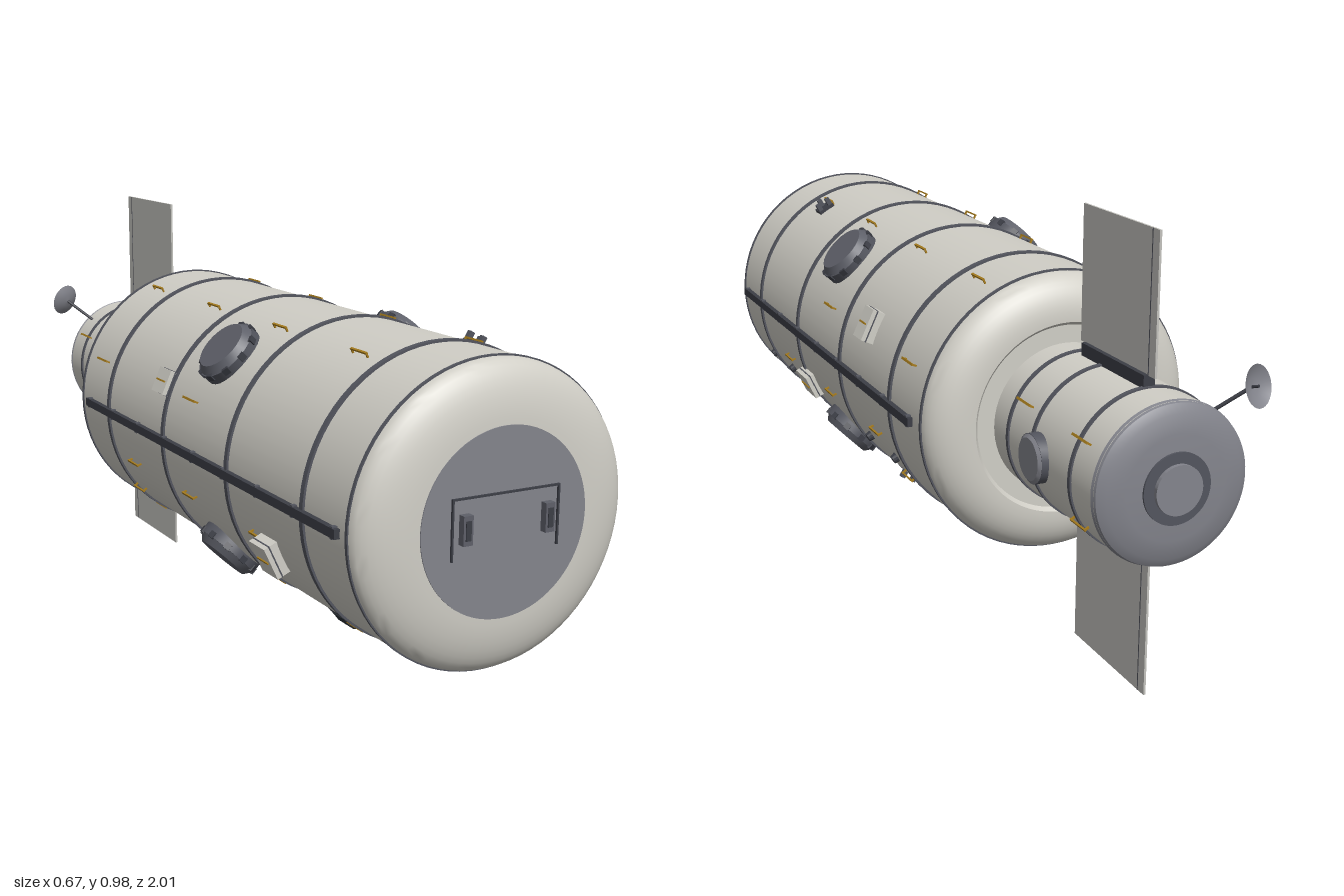
import * as THREE from 'three';
import { toCreasedNormals } from 'three/addons/utils/BufferGeometryUtils.js';

const mat = (name, color) => Object.assign(new THREE.MeshStandardMaterial({ color }), { name });

export function createModel() {
  const hull = mat('hull white', 0xd0cec6);
  const panelMat = mat('panel grey', 0xc4c3be);
  const grey = mat('plate grey', 0x83848c);
  const hatchMat = mat('hatch grey', 0x5e6069);
  const frame = mat('frame grey', 0x53555e);
  const dark = mat('dark metal', 0x3c3e46);
  const glass = mat('dark glass', 0x2b3137);
  const yellow = mat('handrail yellow', 0xa67c1e);
  const CY = 0.49, R = 0.32, NR = 0.17, deg = Math.PI / 180;
  const model = new THREE.Group();
  model.name = 'stationModule';

  const add = (parent, name, geo, material, x = 0, y = 0, z = 0) => {
    const m = new THREE.Mesh(geo, material);
    m.name = name;
    m.position.set(x, y, z);
    parent.add(m);
    return m;
  };
  const box = (parent, name, material, w, h, d, x = 0, y = 0, z = 0) =>
    add(parent, name, new THREE.BoxGeometry(w, h, d), material, x, y, z);
  const cyl = (parent, name, material, top, bottom, h, x, y, z, seg = 28) =>
    add(parent, name, toCreasedNormals(new THREE.CylinderGeometry(top, bottom, h, seg), 0.6), material, x, y, z);
  // Turned part about the long axis; points are [radius, z] with z rising
  const turned = (name, pts, material) => {
    const geo = new THREE.LatheGeometry(pts.map(p => new THREE.Vector2(p[0], p[1])), 72).rotateX(Math.PI / 2);
    return add(model, name, toCreasedNormals(geo, 0.5), material, 0, CY, 0);
  };
  // Group on the hull surface: local y points outward, local z runs along the axis
  const mount = (name, angle, r, z) => {
    const g = new THREE.Group();
    g.name = name;
    g.position.set(Math.cos(angle * deg) * r, CY + Math.sin(angle * deg) * r, z);
    g.rotation.z = (angle - 90) * deg;
    model.add(g);
    return g;
  };
  // Quarter-ellipse shoulder between two radii
  const shoulder = (r0, z0, r1, z1, n = 10) => Array.from({ length: n + 1 }, (_, i) => {
    const a = i / n * Math.PI / 2;
    return [r1 + (r0 - r1) * Math.cos(a), z0 + (z1 - z0) * Math.sin(a)];
  });

  // Main pressure hull
  turned('mainHull', [[R, -0.46], [R, 0.925]], hull);
  turned('frontDome', shoulder(R, 0.925, 0.19, 0.98), hull);
  turned('rearDome', [[0.16, -0.515], [0.21, -0.515], [0.218, -0.525],
    ...shoulder(R, -0.46, 0.225, -0.525).reverse()], hull);
  turned('neckHull', [[NR, -0.965], [NR, -0.5]], hull);
  turned('frontPlate', [[0.195, 0.975], [0.195, 0.982], [0, 0.982]], grey);

  // Frame rings
  const ring = (r, z, half, lift) => turned('frameRing',
    [[r - 0.004, z - half], [r + lift, z - half], [r + lift, z + half], [r - 0.004, z + half]], frame);
  [0.75, 0.408, 0.066, -0.277].forEach(z => ring(R, z, 0.007, 0.005));
  [0.922, -0.462].forEach(z => ring(R, z, 0.004, 0.003));
  [-0.587, -0.698, -0.87].forEach(z => ring(NR, z, 0.005, 0.004));

  // Rear cap and docking disc
  turned('rearCap', [[0, -0.988], [0.11, -0.986], [0.15, -0.981], [0.168, -0.97], [0.172, -0.957], [NR, -0.955]], grey);
  turned('dockingRing', [[0, -0.991], [0.075, -0.991], [0.075, -0.983]], frame);
  turned('dockingDisc', [[0, -1], [0.052, -1], [0.052, -0.985]], grey);

  // Front plate frame and grips
  box(model, 'frontFrameTop', dark, 0.254, 0.004, 0.006, 0, 0.553, 0.984);
  for (const s of [-1, 1]) {
    box(model, 'frontFrameSide', dark, 0.004, 0.125, 0.006, s * 0.125, 0.4925, 0.984);
    box(model, 'frontGrip', hatchMat, 0.022, 0.06, 0.016, s * 0.097, 0.492, 0.99);
    box(model, 'gripPad', dark, 0.012, 0.04, 0.004, s * 0.097, 0.492, 0.998);
  }

  // Long side rails with clamps
  for (const a of [0, 180]) {
    const g = mount('sideRail', a, 0.325, 0.24);
    box(g, 'railBar', dark, 0.02, 0.014, 1.31);
    for (let i = 0; i < 9; i++) box(g, 'railClamp', frame, 0.026, 0.014, 0.01, 0, -0.001, -0.64 + i * 0.16);
  }

  // Round hatches on the diagonals, with latches
  for (const a of [45, 135, 225, 315]) {
    const g = mount('roundHatch', a, 0, 0.24);
    cyl(g, 'hatchBase', frame, 0.078, 0.078, 0.034, 0, 0.321, 0);
    cyl(g, 'hatchLid', hatchMat, 0.062, 0.076, 0.018, 0, 0.346, 0);
    for (let i = 0; i < 10; i++) {
      const t = i * 36 * deg;
      box(g, 'hatchLatch', dark, 0.016, 0.016, 0.016, Math.sin(t) * 0.072, 0.333, Math.cos(t) * 0.072).rotation.y = t;
    }
  }

  // Neck side hatches
  for (const a of [0, 180]) {
    const g = mount('neckHatch', a, 0, -0.725);
    cyl(g, 'neckHatchBase', frame, 0.053, 0.053, 0.03, 0, 0.17, 0);
    cyl(g, 'neckHatchLid', grey, 0.045, 0.052, 0.006, 0, 0.188, 0);
  }

  // Six-sided observation dome underneath
  const cupola = mount('observationDome', -90, 0, 0.475);
  cyl(cupola, 'domeCollar', frame, 0.07, 0.07, 0.03, 0, 0.322, 0);
  cyl(cupola, 'domeSill', frame, 0.088, 0.082, 0.012, 0, 0.336, 0, 6);
  cyl(cupola, 'domeBody', dark, 0.062, 0.088, 0.03, 0, 0.357, 0, 6);
  cyl(cupola, 'domeTopWindow', glass, 0.048, 0.048, 0.004, 0, 0.372, 0, 6);
  for (let i = 0; i < 6; i++) {
    const pivot = new THREE.Group();
    pivot.name = 'domeSideWindow';
    pivot.rotation.y = (i + 0.5) * 60 * deg;
    cupola.add(pivot);
    box(pivot, 'windowPane', glass, 0.052, 0.024, 0.004, 0, 0.357, 0.065).rotation.x = -0.645;
  }
  for (const s of [-1, 1]) {
    box(cupola, 'domeBracket', dark, 0.008, 0.03, 0.01, s * 0.09, 0.317, 0);
    box(cupola, 'domeBracket', dark, 0.008, 0.03, 0.01, s * 0.045, 0.325, 0.08);
  }

  // Equipment boxes: angle, z, tangential width, outer radius, length
  [[25, -0.1, 0.077, 0.35, 0.054], [-25, 0.387, 0.064, 0.342, 0.086],
    [156, 0.033, 0.06, 0.338, 0.064], [205, 0.575, 0.077, 0.35, 0.07]].forEach(([a, z, w, r, d]) => {
    const g = mount('equipmentBox', a, 0, z);
    box(g, 'boxBody', hull, w, r - 0.29, d, 0, (r + 0.29) / 2, 0);
    box(g, 'boxSeam', frame, w + 0.002, 0.003, d + 0.002, 0, r - 0.012, 0);
    box(g, 'boxStrip', yellow, 0.004, 0.004, d * 0.7, 0, r + 0.001, 0);
  });

  // Small bracket clusters
  for (const [a, z] of [[60, 0.638], [-60, 0.013]]) {
    const g = mount('bracketCluster', a, R, z);
    box(g, 'bracketBase', dark, 0.045, 0.012, 0.04, 0, 0.002, 0);
    for (const [x, dz] of [[-0.015, -0.013], [0.015, -0.013], [0, 0.014]])
      box(g, 'bracketPost', frame, 0.012, 0.026, 0.012, x, 0.014, dz);
  }

  // Small round fittings low on the left side
  for (const z of [0.76, 0.587, -0.04, -0.21])
    cyl(mount('roundFitting', -29, R, z), 'fittingStud', dark, 0.01, 0.013, 0.016, 0, 0.004, 0, 12);

  // Handrails
  const handrail = (a, r, z, len = 0.062) => {
    const g = mount('handrail', a, r, z);
    box(g, 'handrailBar', yellow, 0.005, 0.004, len, 0, 0.01, 0);
    for (const s of [-1, 1]) box(g, 'handrailPost', yellow, 0.004, 0.012, 0.004, 0, 0.004, s * (len / 2 - 0.002));
  };
  for (const a of [64.5, 115.5, -64.5, -115.5])
    for (const z of [-0.365, -0.025, 0.317, 0.66]) handrail(a, R, z);
  for (const side of [0, 1]) {
    const at = a => side ? 180 - a : a;
    [-0.355, 0.185].forEach(z => handrail(at(21.5), R, z));
    [0.53, 0.185, -0.145].forEach(z => handrail(at(-19), R, z));
    handrail(at(-37.5), R, -0.23);
    [[-30, -0.88], [30, -0.88], [30, -0.63]].forEach(([a, z]) => handrail(at(a), NR, z));
  }

  // Vertical panels above and below the neck
  for (const a of [90, -90]) {
    const g = mount('panelWing', a, 0, 0);
    box(g, 'panelRoot', dark, 0.026, 0.028, 0.26, 0, 0.183, -0.742);
    box(g, 'mainPanel', panelMat, 0.005, 0.295, 0.28, 0, 0.3425, -0.73);
    box(g, 'panelSeam', frame, 0.006, 0.295, 0.003, 0, 0.3425, -0.871);
    box(g, 'panelEdge', panelMat, 0.005, 0.295, 0.024, 0, 0.3425, -0.884);
  }

  // Dish antenna on an arm
  const dishPos = new THREE.Vector3(-0.172, 0.67, -0.972);
  const armPath = new THREE.LineCurve3(new THREE.Vector3(-0.105, 0.61, -0.925), dishPos);
  add(model, 'dishArm', new THREE.TubeGeometry(armPath, 1, 0.004, 8), dark);
  const dishMat = mat('dish grey', 0x83848c);
  dishMat.side = THREE.DoubleSide;
  const bowl = [[0, 0], [0.016, 0.002], [0.031, 0.007], [0.044, 0.015]].map(p => new THREE.Vector2(...p));
  const dish = add(model, 'dish', new THREE.LatheGeometry(bowl, 28), dishMat, ...dishPos.toArray());
  dish.quaternion.setFromUnitVectors(new THREE.Vector3(0, 1, 0), new THREE.Vector3(-0.38, 0.25, -0.9).normalize());
  cyl(dish, 'dishFeed', dark, 0.003, 0.003, 0.016, 0, 0.008, 0, 8);

  return model;
}
